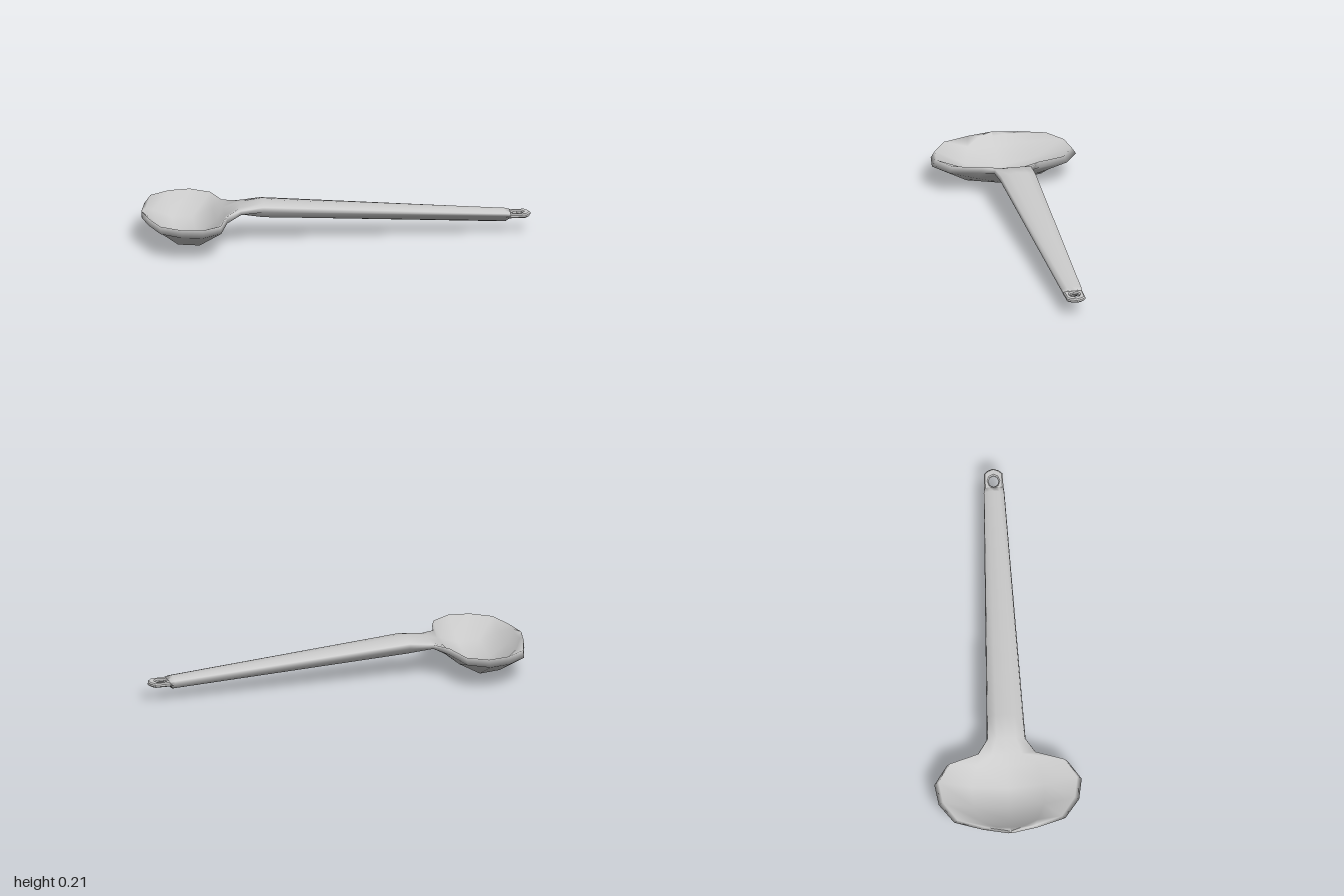
import * as THREE from 'three';

const material = new THREE.MeshStandardMaterial({ color: 0xcccccc });

// Cross-sections along x: x, half width, then heights of
// top centre, top middle, rim, outer edge, underside middle, underside centre
const stations = [
  [-1.0, 0.01, 0.165, 0.165, 0.165, 0.13, 0.13, 0.13],
  [-0.975, 0.14, 0.15, 0.158, 0.165, 0.13, 0.12, 0.113],
  [-0.93, 0.285, 0.11, 0.125, 0.165, 0.13, 0.1, 0.08],
  [-0.83, 0.36, 0.045, 0.075, 0.165, 0.13, 0.04, 0.004],
  [-0.72, 0.378, 0.035, 0.07, 0.165, 0.13, 0.035, 0],
  [-0.62, 0.31, 0.1, 0.12, 0.165, 0.13, 0.085, 0.07],
  [-0.575, 0.155, 0.145, 0.15, 0.168, 0.135, 0.115, 0.102],
  [-0.5, 0.1, 0.187, 0.184, 0.18, 0.16, 0.15, 0.145],
  [-0.38, 0.095, 0.21, 0.204, 0.194, 0.17, 0.13, 0.115],
  [0.87, 0.053, 0.122, 0.119, 0.111, 0.098, 0.066, 0.055],
  [0.895, 0.05, 0.111, 0.11, 0.107, 0.096, 0.081, 0.078],
];
const widths = [0, 0.5, 0.94, 1, 0.52, 0];

// Closed loft through the mirrored cross-sections
function loft(rows) {
  const positions = [], index = [];
  const n = 10;
  for (const [x, w, ...ys] of rows) {
    for (let j = 0; j < n; j++) {
      const k = j <= 5 ? j : n - j;
      positions.push(x, ys[k], w * widths[k] * (j <= 5 ? 1 : -1));
    }
  }
  for (let i = 0; i < rows.length - 1; i++) {
    for (let j = 0; j < n; j++) {
      const a = i * n + j, b = i * n + (j + 1) % n;
      index.push(a, b, a + n, b, b + n, a + n);
    }
  }
  const end = (rows.length - 1) * n;
  for (let j = 1; j < n - 1; j++) {
    index.push(0, j + 1, j, end, end + j, end + j + 1);
  }
  const geometry = new THREE.BufferGeometry();
  geometry.setAttribute('position', new THREE.Float32BufferAttribute(positions, 3));
  geometry.setIndex(index);
  geometry.computeVertexNormals();
  return geometry;
}

// Flat end of the handle with its hanging hole
function hangingTab() {
  const bevel = 0.006;
  const outline = new THREE.Shape([
    [0.88, -0.044], [0.97, -0.042], [0.984, -0.026], [0.994, 0],
    [0.984, 0.026], [0.97, 0.042], [0.88, 0.044],
  ].map(([x, z]) => new THREE.Vector2(x, z)));
  const hole = new THREE.Path();
  hole.absellipse(0.932, 0, 0.037, 0.033, 0, Math.PI * 2, true);
  outline.holes.push(hole);
  const geometry = new THREE.ExtrudeGeometry(outline, {
    depth: 0.01, bevelEnabled: true, bevelThickness: bevel, bevelSize: bevel,
    bevelSegments: 1, curveSegments: 4,
  });
  geometry.rotateX(Math.PI / 2);
  geometry.translate(0, 0.1, 0);
  return geometry;
}

export function createModel() {
  const group = new THREE.Group();
  group.name = 'ladle';
  const add = (name, geometry) => {
    const mesh = new THREE.Mesh(geometry, material);
    mesh.name = name;
    group.add(mesh);
  };
  add('bowlAndHandle', loft(stations));
  add('hangingTab', hangingTab());
  return group;
}
